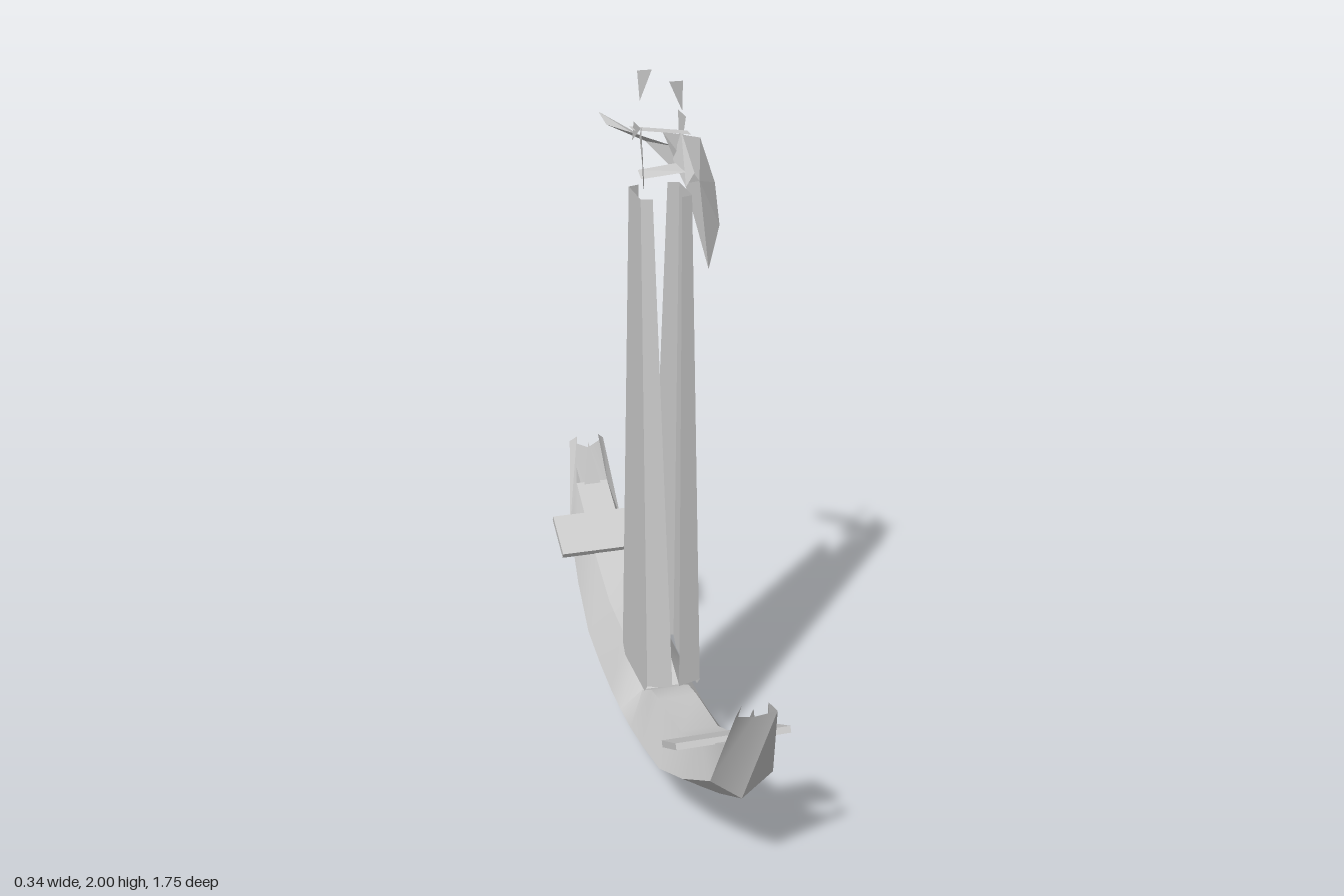
import * as THREE from 'three';
import { toCreasedNormals } from 'three/addons/utils/BufferGeometryUtils.js';

const CX = -0.016; // the anchor's own middle plane
const material = new THREE.MeshStandardMaterial({ color: 0xcccccc, side: THREE.DoubleSide });

function makeMesh(name, positions, crease) {
  let geometry = new THREE.BufferGeometry();
  geometry.setAttribute('position', new THREE.Float32BufferAttribute(positions, 3));
  geometry.computeVertexNormals();
  if (crease) geometry = toCreasedNormals(geometry, crease);
  const mesh = new THREE.Mesh(geometry, material);
  mesh.name = name;
  return mesh;
}

// Thin plate: a fan of triangles round the first point
function sheet(name, points) {
  const out = [];
  for (let i = 1; i < points.length - 1; i++) out.push(...points[0], ...points[i], ...points[i + 1]);
  return makeMesh(name, out);
}

// Skin between neighbouring rows of points; skip(i, j) leaves a face out
function loft(name, rows, crease, skip = () => false) {
  const out = [];
  for (let i = 0; i < rows.length - 1; i++) {
    for (let j = 0; j < rows[i].length - 1; j++) {
      if (skip(i, j)) continue;
      const a = rows[i][j], b = rows[i + 1][j], c = rows[i][j + 1], d = rows[i + 1][j + 1];
      out.push(...a, ...b, ...c, ...b, ...d, ...c);
    }
  }
  return makeMesh(name, out, crease);
}

// Curved arms: keel [z, y], chine [z, y, half width], deck edge [z, y, half width]
function createArms() {
  const half = [
    { keel: [0, 0.005], chine: [0, 0.125, 0.122], deck: [0, 0.18, 0.055] },
    { keel: [0.1, 0.01], chine: [0.11, 0.128, 0.122], deck: [0.1, 0.235, 0.055] },
    { keel: [0.24, 0.045], chine: [0.24, 0.145, 0.122], deck: [0.18, 0.25, 0.055] },
    { keel: [0.4, 0.09], chine: [0.4, 0.168, 0.118], deck: [0.39, 0.27, 0.053] },
    { keel: [0.58, 0.18], chine: [0.58, 0.245, 0.105], deck: [0.58, 0.352, 0.052] },
    { keel: [0.77, 0.285], chine: [0.765, 0.35, 0.085], deck: [0.81, 0.48, 0.05] },
    { keel: [0.855, 0.58], chine: [0.875, 0.6, 0.055], deck: [0.86, 0.62, 0.035] },
  ];
  const section = ({ keel, chine, deck }, s) => {
    const ring = [
      [CX + deck[2], deck[1], s * deck[0]],
      [CX + chine[2], chine[1], s * chine[0]],
      [CX, keel[1], s * keel[0]],
      [CX - chine[2], chine[1], s * chine[0]],
      [CX - deck[2], deck[1], s * deck[0]],
    ];
    return [...ring, ring[0]];
  };
  const rows = [
    ...half.slice(1).reverse().map((h) => section(h, -1)),
    ...half.map((h) => section(h, 1)),
  ];
  const last = rows.length - 2;
  // the deck stops short of both forked tips
  return loft('arms', rows, 0.5, (i, j) => j === 4 && (i === 0 || i === last));
}

// One hollow half of the tapered shank; the pair leaves a slit front and back
function createShankSide(s) {
  const levels = [
    { y: 0.24, lift: 0.03, x: 0.078, z: 0.135, slitX: 0.01, slitZ: 0.157 },
    { y: 1.69, lift: 0, x: 0.07, z: 0.06, slitX: 0.04, slitZ: 0.07 },
  ];
  const rows = levels.map(({ y, lift, x, z, slitX, slitZ }) => [
    [CX + s * slitX, y + lift, s * slitZ],
    [CX + s * x, y + lift, s * z],
    [CX + s * x, y, s * z * 0.8],
    [CX + s * x, y, -s * z * 0.8],
    [CX + s * x, y + lift, -s * z],
    [CX + s * slitX, y + lift, -s * slitZ],
  ].reverse());
  return loft(s > 0 ? 'shankLeft' : 'shankRight', rows, 0.15);
}

export function createModel() {
  const group = new THREE.Group();
  group.name = 'anchor';

  group.add(createArms(), createShankSide(1), createShankSide(-1));

  // Cross plates lying on the slope of the arms, and the inner points of the tips
  for (const s of [1, -1]) {
    const plate = new THREE.Mesh(new THREE.BoxGeometry(0.312, 0.018, 0.148), material);
    plate.name = s > 0 ? 'crossPlateFront' : 'crossPlateBack';
    plate.position.set(CX, 0.388, s * 0.63);
    plate.rotation.x = -s * 0.49;
    group.add(plate);
    group.add(sheet(s > 0 ? 'tipPointFront' : 'tipPointBack', [
      [CX - 0.028, 0.47, s * 0.8], [CX + 0.028, 0.47, s * 0.8], [CX, 0.6, s * 0.85],
    ]));
  }

  // Remains of the broken head frame
  group.add(
    sheet('headCheekRight', [
      [-0.085, 1.885, 0.065], [-0.08, 1.85, 0.03], [-0.075, 1.73, 0.055], [-0.09, 1.73, 0.1],
    ]),
    sheet('headCheekLeft', [[0.06, 1.88, -0.02], [0.06, 1.88, -0.095], [0.055, 1.75, -0.06]]),
    sheet('headCheekInner', [[-0.085, 1.88, 0.06], [-0.085, 1.88, -0.01], [-0.08, 1.82, -0.045]]),
    sheet('headBarTop', [
      [-0.09, 1.86, -0.04], [-0.09, 1.86, 0.0], [0.06, 1.845, 0.03], [0.06, 1.845, -0.01],
    ]),
    sheet('headBarBottom', [
      [-0.08, 1.755, 0.01], [-0.08, 1.74, 0.045], [0.055, 1.745, 0.03], [0.055, 1.755, -0.03],
    ]),
    sheet('headStrut', [[0.05, 1.84, -0.03], [0.06, 1.75, 0.06], [0.04, 1.71, 0.05], [0.03, 1.76, -0.04]]),
    sheet('topShardFront', [[-0.012, 2, 0.07], [0.025, 2, 0.07], [0.025, 1.92, 0.064]]),
    sheet('topShardBack', [[-0.06, 2, -0.065], [-0.02, 2, -0.065], [-0.055, 1.92, -0.059]]),
  );

  // Folded hanging leaf, two blades meeting along a ridge
  const hangTop = [0, 1.84, -0.035], hangTip = [0.135, 1.44, -0.05], ridge = [0.1, 1.7, -0.025];
  group.add(
    sheet('hangingLeafOuter', [
      ridge, hangTip, [0.168, 1.56, -0.06], [0.155, 1.68, -0.065], [0.11, 1.81, -0.055], hangTop,
    ]),
    sheet('hangingLeafInner', [ridge, hangTop, [0.04, 1.75, -0.04], [0.065, 1.69, -0.045], hangTip]),
  );

  // Rear leaf reaching up and back
  const rearTip = [-0.135, 1.865, -0.185], rearFold = [-0.02, 1.79, -0.13], rearRoot = [0.045, 1.72, -0.06];
  group.add(
    sheet('rearLeafOuter', [rearFold, rearTip, [0, 1.78, -0.18], [0.1, 1.75, -0.085], rearRoot]),
    sheet('rearLeafInner', [rearFold, rearRoot, [0.04, 1.79, -0.06], [-0.12, 1.835, -0.16], rearTip]),
  );

  return group;
}
